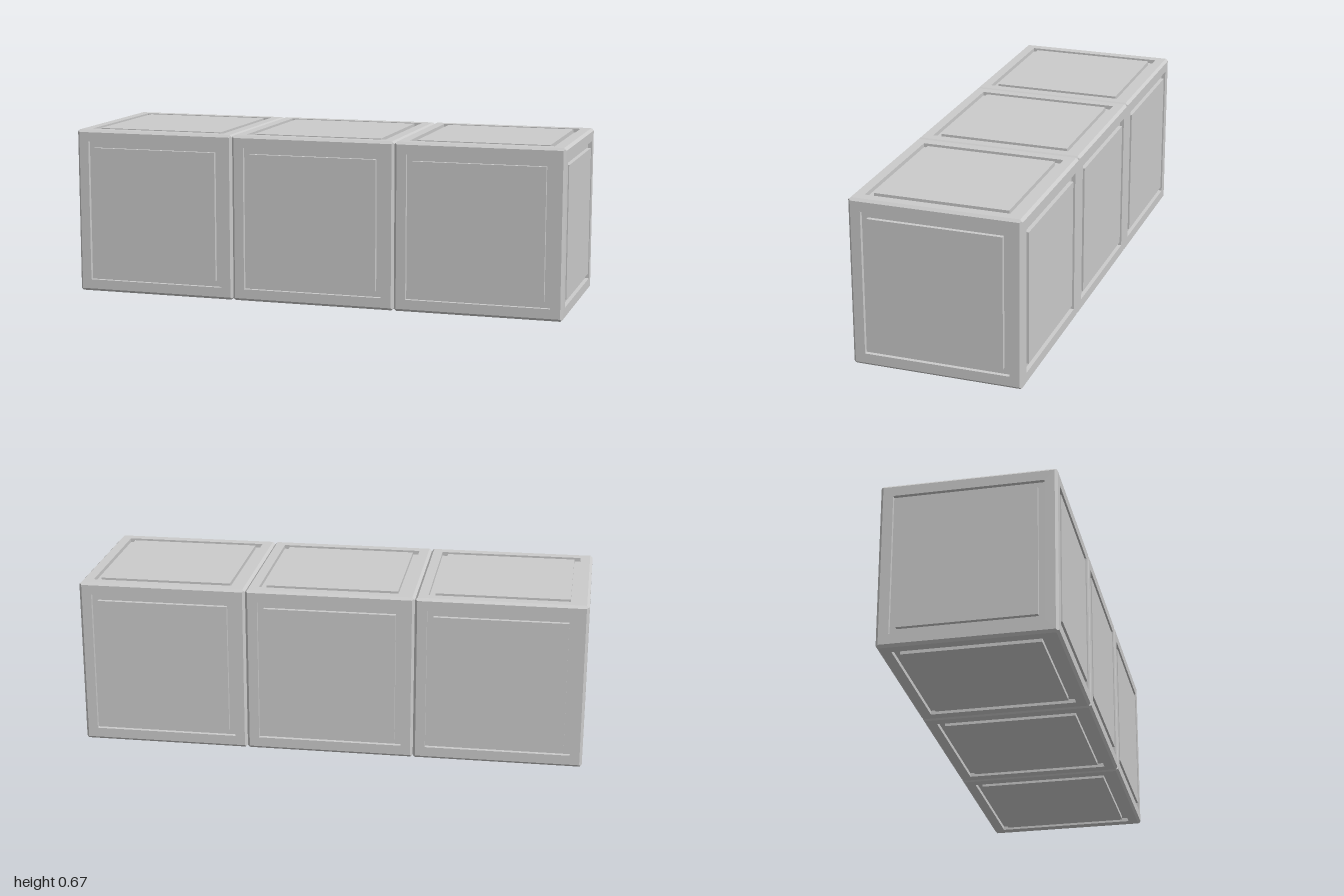
import * as THREE from 'three';

const HALF = 1 / 3;      // half the edge of one cube
const BEVEL = 0.01;      // chamfer along the cube edges
const GROOVE_OUT = 0.285;
const GROOVE_IN = 0.26;
const GROOVE_DEPTH = 0.016;

// One cube side as a four-sided lathe: half chamfer, rim, groove, flush centre panel
function sideGeometry() {
  const edge = HALF - BEVEL / 2;
  const profile = [
    [edge, edge],
    [HALF - BEVEL, HALF],
    [GROOVE_OUT, HALF],
    [GROOVE_OUT, HALF - GROOVE_DEPTH],
    [GROOVE_IN, HALF - GROOVE_DEPTH],
    [GROOVE_IN, HALF],
    [0, HALF],
  ].map(([r, y]) => new THREE.Vector2(r * Math.SQRT2, y));
  return new THREE.LatheGeometry(profile, 4, Math.PI / 4);
}

export function createModel() {
  const model = new THREE.Group();
  model.name = 'cubeRow';
  const material = new THREE.MeshStandardMaterial({ color: 0xcccccc, flatShading: true });
  const geometry = sideGeometry();
  const q = Math.PI / 2;

  // Rotations that turn the top side to each face of the cube
  const sides = {
    topSide: [0, 0, 0],
    bottomSide: [Math.PI, 0, 0],
    frontSide: [q, 0, 0],
    backSide: [-q, 0, 0],
    leftSide: [0, 0, -q],
    rightSide: [0, 0, q],
  };

  // Three touching cubes in a row
  ['rightCube', 'middleCube', 'leftCube'].forEach((name, i) => {
    const cube = new THREE.Group();
    cube.name = name;
    cube.position.set((i - 1) * 2 * HALF, HALF, 0);
    for (const [sideName, rotation] of Object.entries(sides)) {
      const side = new THREE.Mesh(geometry, material);
      side.name = sideName;
      side.rotation.set(...rotation);
      cube.add(side);
    }
    model.add(cube);
  });
  return model;
}
